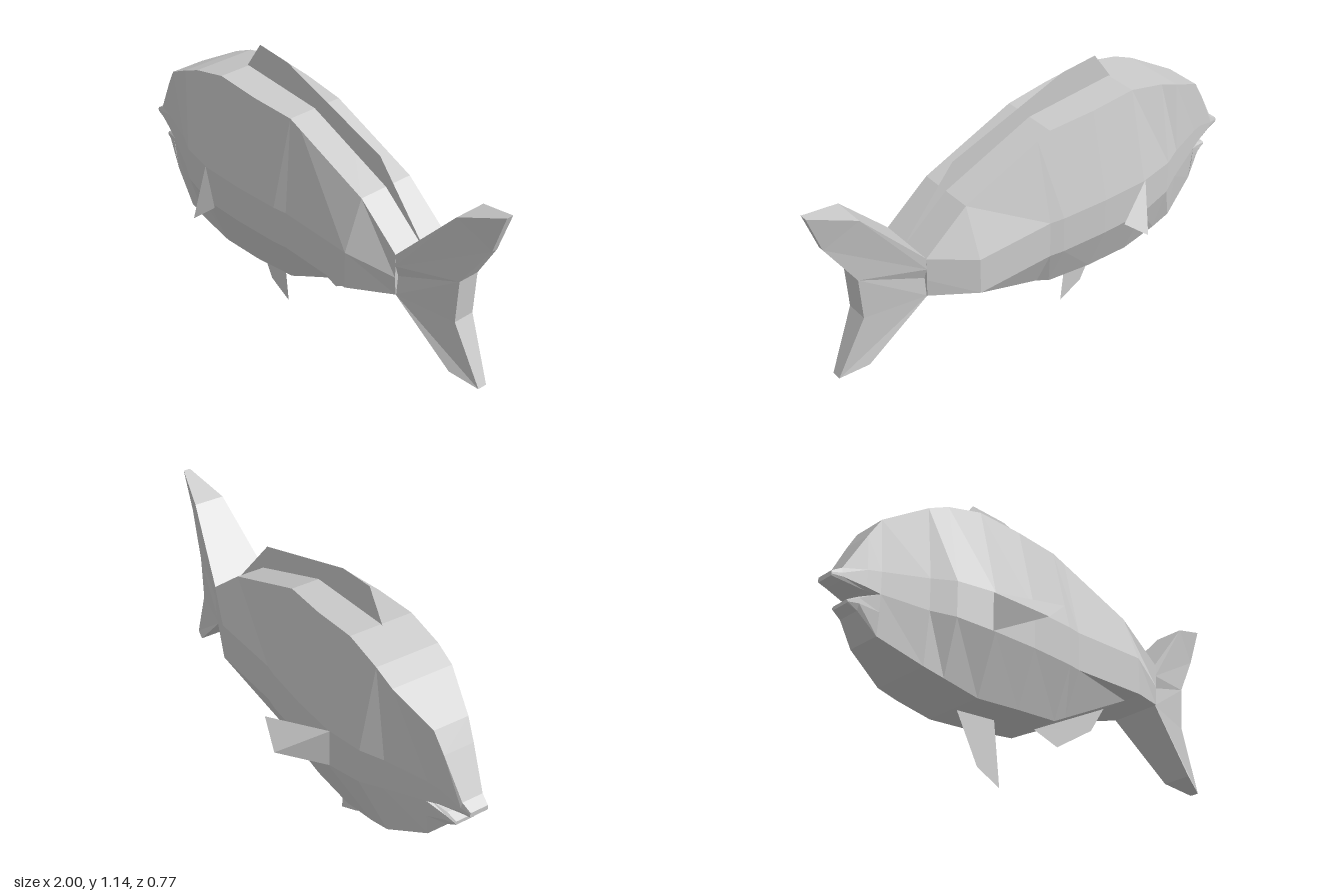
import * as THREE from 'three';

const material = new THREE.MeshStandardMaterial({ color: 0xcccccc, flatShading: true });
const thinMaterial = new THREE.MeshStandardMaterial({ color: 0xcccccc, flatShading: true, side: THREE.DoubleSide });

function meshFrom(name, corners, mat = material) {
  const geometry = new THREE.BufferGeometry();
  geometry.setAttribute('position', new THREE.Float32BufferAttribute(corners.flat(), 3));
  geometry.computeVertexNormals();
  const mesh = new THREE.Mesh(geometry, mat);
  mesh.name = name;
  return mesh;
}

// Lofts eight-sided sections: x, heights [top, upper side, lower side, bottom], half widths of the same
function loft(name, stations) {
  const rings = stations.map(([x, ys, ws]) => {
    const left = ys.map((y, i) => [x, y, ws[i]]);
    return [...left, ...left.map(([a, b, c]) => [a, b, -c]).reverse()];
  });
  const out = [];
  for (let s = 0; s < rings.length - 1; s++) {
    const p = rings[s], q = rings[s + 1];
    for (let i = 0; i < 8; i++) {
      const j = (i + 1) % 8;
      out.push(p[i], p[j], q[j], p[i], q[j], q[i]);
    }
  }
  const first = rings[0], last = rings[rings.length - 1];
  for (let i = 1; i < 7; i++) {
    out.push(first[0], first[i + 1], first[i]);
    out.push(last[0], last[i], last[i + 1]);
  }
  return meshFrom(name, out);
}

// Symmetric solid from an outline of [x, y, half thickness]
function taperedSolid(name, outline) {
  let pts = outline;
  const flat = (list) => list.map(([x, y]) => new THREE.Vector2(x, y));
  if (THREE.ShapeUtils.isClockWise(flat(pts))) pts = [...pts].reverse();
  const front = pts, back = pts.map(([x, y, w]) => [x, y, -w]);
  const out = [];
  for (const [a, b, c] of THREE.ShapeUtils.triangulateShape(flat(pts), [])) {
    out.push(front[a], front[b], front[c], back[a], back[c], back[b]);
  }
  pts.forEach((_, i) => {
    const j = (i + 1) % pts.length;
    out.push(front[i], back[i], back[j], front[i], back[j], front[j]);
  });
  return meshFrom(name, out);
}

// Paper-thin fin on the centre plane
function flatFin(name, outline) {
  const shape = new THREE.Shape(outline.map(([x, y]) => new THREE.Vector2(x, y)));
  const mesh = new THREE.Mesh(new THREE.ShapeGeometry(shape), thinMaterial);
  mesh.name = name;
  return mesh;
}

export function createModel() {
  const fish = new THREE.Group();
  fish.name = 'fish';

  // Body from the gills to the tail stalk
  fish.add(loft('body', [
    [-0.82, [0.85, 0.63, 0.54, 0.38], [0.075, 0.09, 0.09, 0.075]],
    [-0.65, [0.945, 0.64, 0.51, 0.30], [0.13, 0.155, 0.155, 0.13]],
    [-0.56, [0.985, 0.645, 0.50, 0.28], [0.135, 0.2, 0.2, 0.135]],
    [-0.40, [1.025, 0.645, 0.485, 0.25], [0.135, 0.228, 0.228, 0.135]],
    [-0.20, [1.015, 0.645, 0.485, 0.263], [0.135, 0.224, 0.224, 0.135]],
    [0.00, [1.005, 0.645, 0.485, 0.28], [0.12, 0.208, 0.208, 0.12]],
    [0.06, [0.982, 0.645, 0.485, 0.311], [0.12, 0.197, 0.197, 0.118]],
    [0.40, [0.85, 0.645, 0.487, 0.485], [0.12, 0.197, 0.197, 0.115]],
    [0.588, [0.70, 0.60, 0.522, 0.52], [0.12, 0.12, 0.115, 0.112]],
  ]));

  // Jaws, parted by the open mouth
  fish.add(loft('upperJaw', [
    [-1.00, [0.59, 0.583, 0.576, 0.57], [0.038, 0.04, 0.04, 0.038]],
    [-0.96, [0.612, 0.59, 0.575, 0.563], [0.045, 0.05, 0.05, 0.045]],
    [-0.87, [0.77, 0.625, 0.555, 0.548], [0.065, 0.075, 0.075, 0.06]],
    [-0.82, [0.85, 0.63, 0.54, 0.539], [0.075, 0.09, 0.09, 0.075]],
  ]));
  fish.add(loft('lowerJaw', [
    [-0.93, [0.50, 0.495, 0.49, 0.485], [0.04, 0.045, 0.045, 0.04]],
    [-0.89, [0.52, 0.512, 0.49, 0.465], [0.05, 0.06, 0.06, 0.05]],
    [-0.82, [0.541, 0.54, 0.47, 0.38], [0.075, 0.09, 0.086, 0.075]],
  ]));

  // Forked tail with a sunken web between the lobes
  fish.add(taperedSolid('upperTailLobe', [
    [0.585, 0.70, 0.12], [0.82, 0.96, 0.065], [1.0, 1.025, 0.015],
    [0.945, 0.86, 0.012], [0.835, 0.685, 0.045], [0.585, 0.65, 0.12],
  ]));
  fish.add(taperedSolid('tailWeb', [
    [0.585, 0.65, 0.12], [0.835, 0.685, 0.045], [0.585, 0.60, 0.105],
  ]));
  fish.add(taperedSolid('lowerTailLobe', [
    [0.585, 0.60, 0.105], [0.835, 0.685, 0.045], [0.825, 0.50, 0.045],
    [0.94, 0.247, 0.02], [0.83, 0.285, 0.065], [0.585, 0.52, 0.112],
  ]));

  // Centre fins
  fish.add(flatFin('dorsalFin', [
    [-0.41, 1.02], [-0.325, 1.145], [-0.16, 1.135], [0.365, 0.965],
    [0.588, 0.71], [0.585, 0.69], [0.4, 0.84], [0, 0.99],
  ]));
  fish.add(flatFin('pelvicFin', [[-0.385, 0.255], [-0.28, 0.055], [-0.17, 0], [-0.2, 0.27]]));
  fish.add(flatFin('analFin', [[0, 0.285], [0.13, 0.243], [0.32, 0.365], [0.4, 0.49]]));

  // Side fins, swept back and outwards
  for (const [name, s] of [['frontPectoralFin', 1], ['backPectoralFin', -1]]) {
    const [a, b, c, d] = [
      [-0.41, 0.645, 0.225 * s], [-0.41, 0.485, 0.225 * s],
      [-0.28, 0.53, 0.385 * s], [-0.175, 0.62, 0.358 * s],
    ];
    fish.add(meshFrom(name, [a, b, c, a, c, d], thinMaterial));
  }
  return fish;
}
